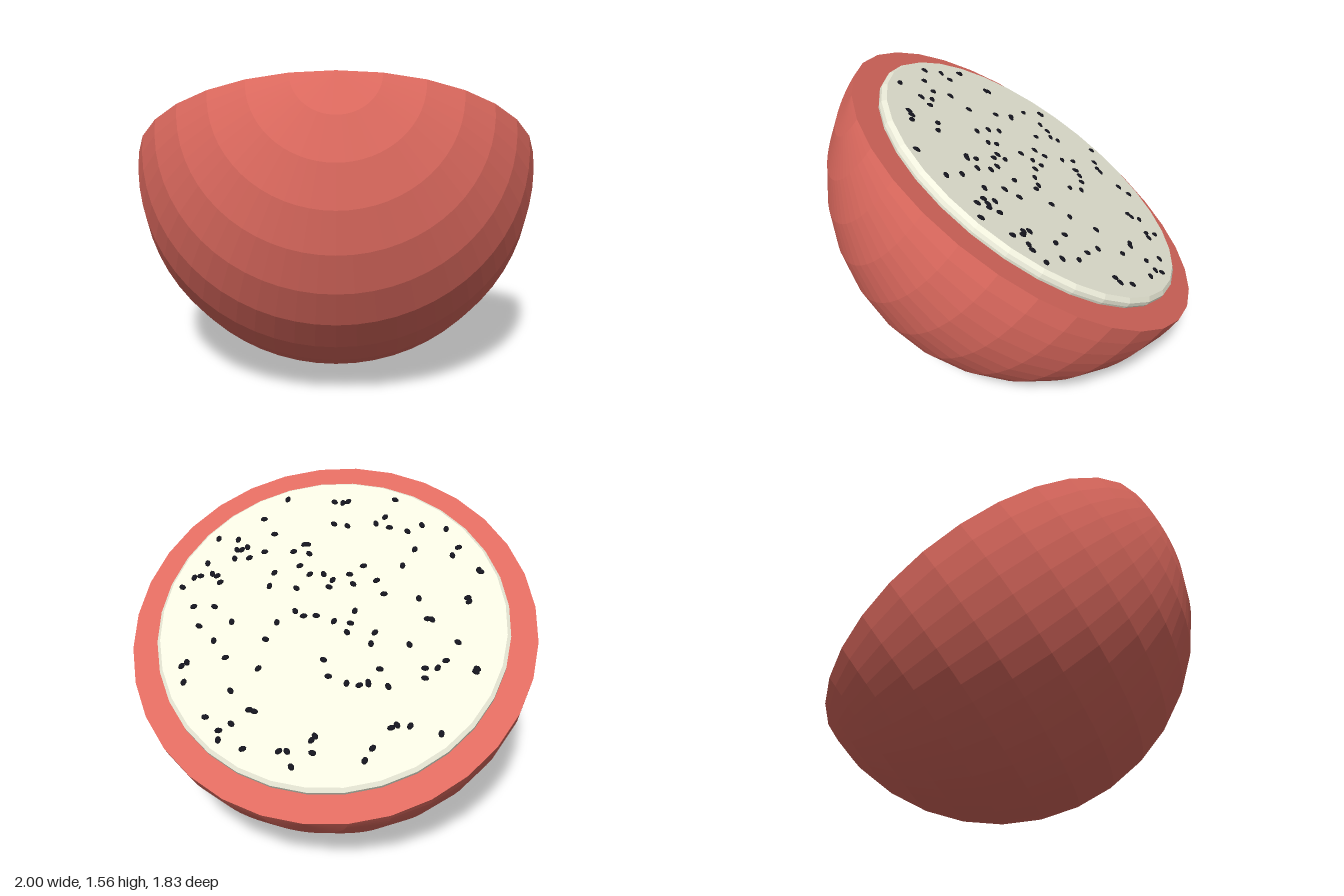
import * as THREE from 'three';

const TILT = 0.6;       // lean of the cut face towards the back
const FLESH_TOP = 0.054;

function part(name, geometry, color, flatShading = true) {
  const mesh = new THREE.Mesh(geometry, new THREE.MeshStandardMaterial({ color, flatShading }));
  mesh.name = name;
  return mesh;
}

// Small seeded generator for the seed scatter
function makeRandom(seed) {
  return () => {
    seed = (seed * 1664525 + 1013904223) % 4294967296;
    return seed / 4294967296;
  };
}

export function createModel() {
  const model = new THREE.Group();
  model.name = 'halfFruit';

  // Everything is built with the cut face level, then leaned back as one
  const fruit = new THREE.Group();
  fruit.name = 'tiltedFruit';
  fruit.position.set(0, 1, -0.085);
  fruit.rotation.x = -TILT;
  model.add(fruit);

  // Skin: half sphere with its poles on the rim
  const skin = new THREE.SphereGeometry(1, 32, 16, 0, Math.PI).rotateX(Math.PI / 2);
  fruit.add(part('skin', skin, 0xde6a5f));

  // Flat cut rim closing the half sphere
  const rim = new THREE.CircleGeometry(1, 32).rotateX(-Math.PI / 2);
  fruit.add(part('cutRim', rim, 0xde6a5f));

  // Pale flesh: shallow disc with a bevelled top edge
  const profile = [[0.862, 0], [0.868, 0.015], [0.868, 0.036], [0.85, FLESH_TOP], [0, FLESH_TOP]]
    .map(([r, y]) => new THREE.Vector2(r, y));
  fruit.add(part('flesh', new THREE.LatheGeometry(profile, 32), 0xf1f1de));

  // Seeds scattered evenly over the flesh
  const seeds = new THREE.Group();
  seeds.name = 'seeds';
  const random = makeRandom(17);
  const seedShape = new THREE.SphereGeometry(0.017, 8, 6);
  for (let i = 0; i < 115; i++) {
    const angle = random() * Math.PI * 2;
    const radius = 0.8 * Math.sqrt(random());
    const seed = part('seed', seedShape, 0x14141e, false);
    seed.position.set(Math.cos(angle) * radius, FLESH_TOP, Math.sin(angle) * radius);
    seed.rotation.y = random() * Math.PI;
    seed.scale.set(1.15, 0.6, 0.85);
    seeds.add(seed);
  }
  fruit.add(seeds);

  return model;
}
